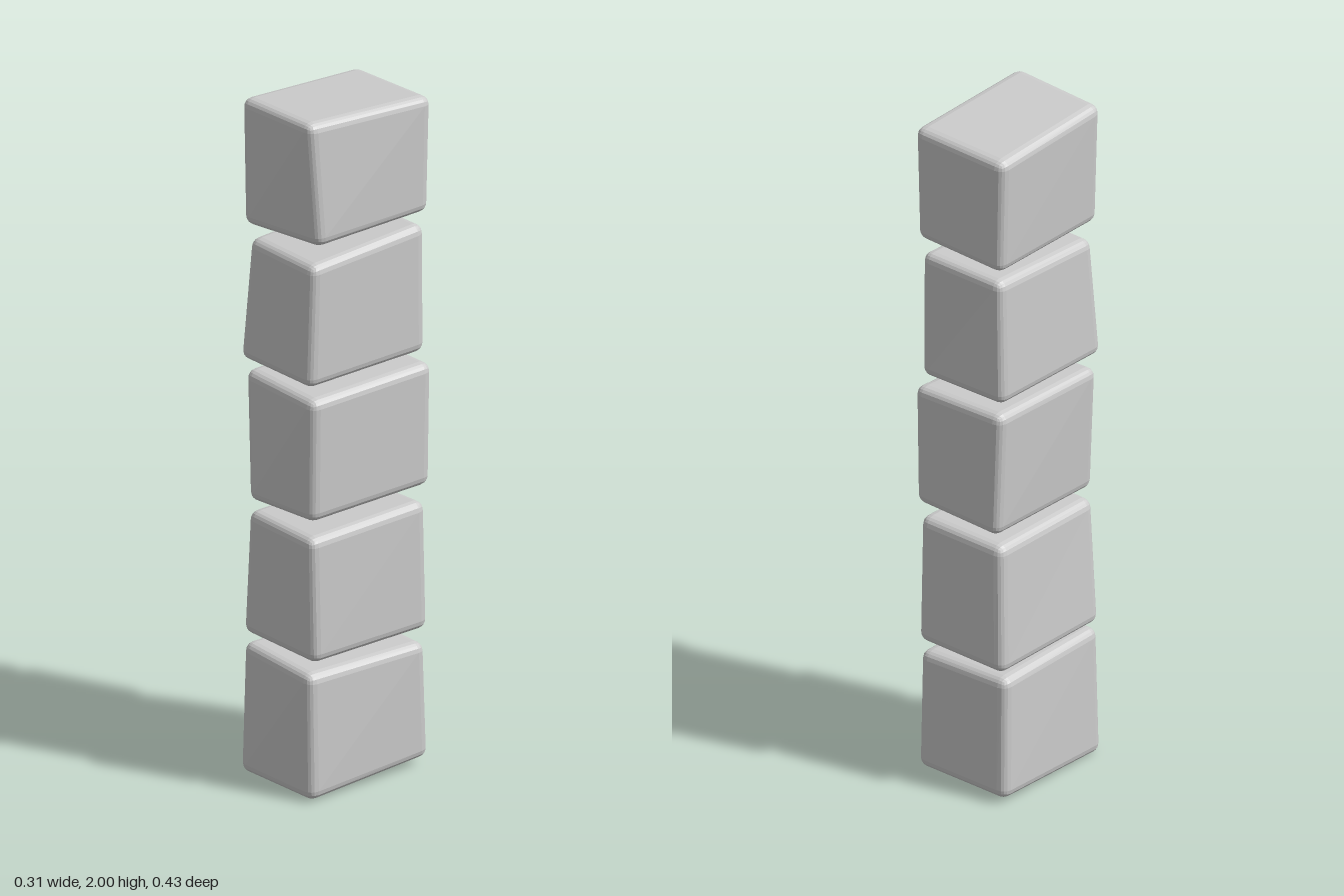
import * as THREE from 'three';
import { RoundedBoxGeometry } from 'three/addons/geometries/RoundedBoxGeometry.js';

// Each block: four bottom then four top corners [x, y, z],
// in the order front -x, front +x, back -x, back +x.
const BLOCKS = [
  [[-.155, 0, .215], [.15, .005, .215], [-.16, .015, -.205], [.147, .025, -.21],
    [-.15, .385, .205], [.14, .375, .213], [-.15, .375, -.19], [.155, .37, -.19]],
  [[-.16, .405, .2], [.155, .412, .21], [-.155, .4, -.21], [.15, .405, -.205],
    [-.135, .775, .2], [.15, .78, .215], [-.135, .775, -.19], [.15, .785, -.195]],
  [[-.13, .805, .205], [.135, .82, .2], [-.135, .815, -.21], [.153, .83, -.21],
    [-.155, 1.185, .195], [.137, 1.178, .198], [-.15, 1.19, -.21], [.155, 1.19, -.215]],
  [[-.155, 1.22, .215], [.14, 1.22, .212], [-.15, 1.22, -.205], [.14, 1.22, -.203],
    [-.14, 1.575, .19], [.14, 1.578, .2], [-.14, 1.592, -.2], [.14, 1.598, -.2]],
  [[-.14, 1.62, .215], [.155, 1.638, .192], [-.145, 1.622, -.205], [.152, 1.637, -.205],
    [-.16, 1.988, .205], [.14, 2.002, .213], [-.157, 1.965, -.21], [.157, 1.978, -.212]],
];

const W = 0.3, H = 0.38, D = 0.42, BEVEL = 0.028;

// Bevelled box whose vertices are blended between eight free corners
function blockGeometry(corners) {
  const geometry = new RoundedBoxGeometry(W, H, D, 2, BEVEL);
  const pos = geometry.attributes.position;
  for (let i = 0; i < pos.count; i++) {
    const u = pos.getX(i) / W + 0.5;
    const v = pos.getY(i) / H + 0.5;
    const w = 0.5 - pos.getZ(i) / D;
    const p = [0, 0, 0];
    corners.forEach((corner, c) => {
      const weight = (c & 1 ? u : 1 - u) * (c & 2 ? w : 1 - w) * (c & 4 ? v : 1 - v);
      for (let k = 0; k < 3; k++) p[k] += weight * corner[k];
    });
    pos.setXYZ(i, ...p);
  }
  geometry.computeVertexNormals();
  return geometry;
}

export function createModel() {
  const model = new THREE.Group();
  model.name = 'stoneBlockPillar';
  const stone = new THREE.MeshStandardMaterial({ color: 0xcccccc, flatShading: true });

  // Stack of uneven stone blocks, bottom to top
  BLOCKS.forEach((corners, i) => {
    const block = new THREE.Mesh(blockGeometry(corners), stone);
    block.name = `stoneBlock${i + 1}`;
    model.add(block);
  });
  return model;
}
